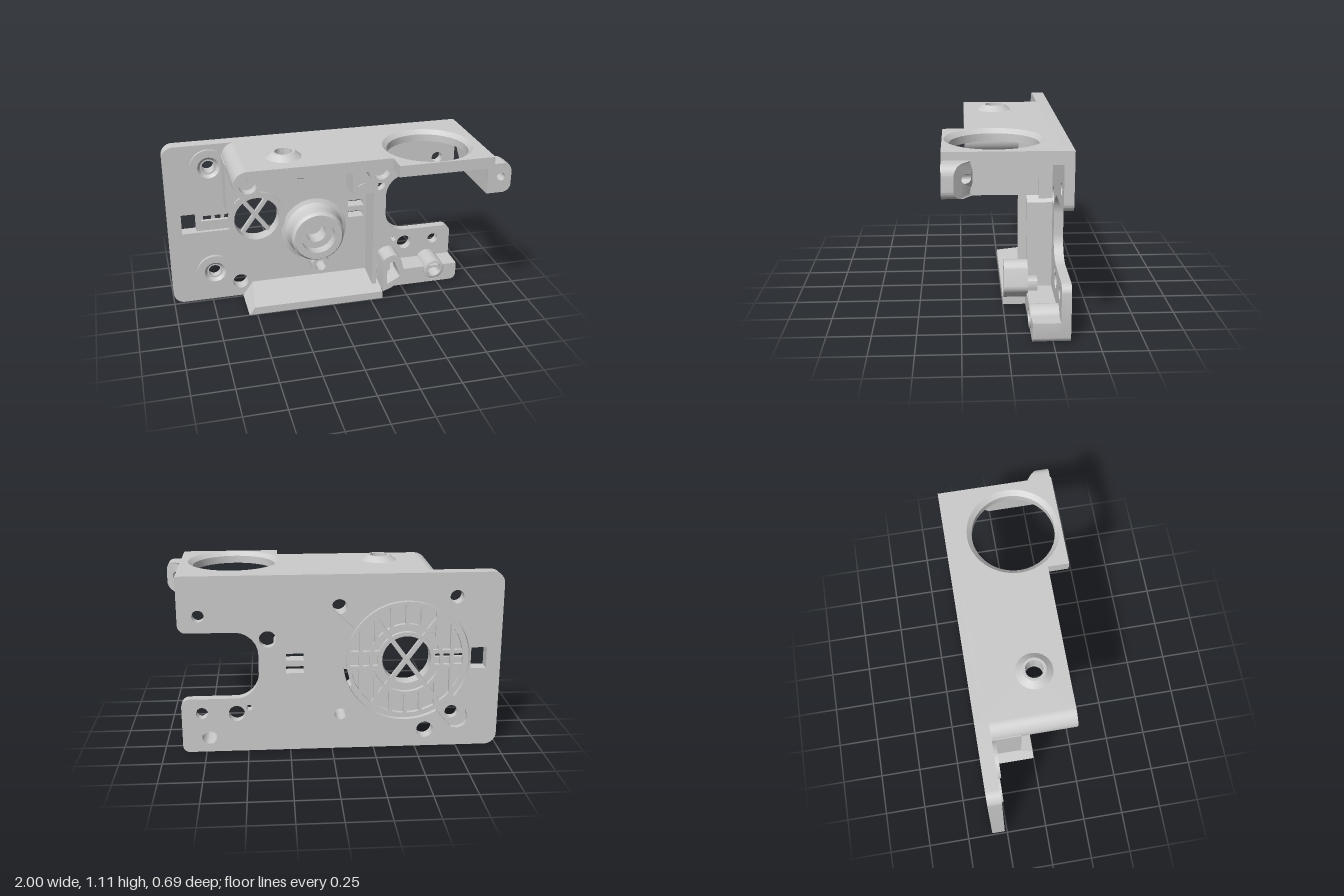
import * as THREE from 'three';
import { toCreasedNormals } from 'three/addons/utils/BufferGeometryUtils.js';

const mat = new THREE.MeshStandardMaterial({ color: 0xcccccc });

// Closed outline from [x, y, cornerRadius]
function outline(pts, Type = THREE.Shape) {
  const s = new Type(), n = pts.length;
  const toward = (a, b, d) => {
    const l = Math.hypot(b[0] - a[0], b[1] - a[1]);
    return [a[0] + (b[0] - a[0]) * d / l, a[1] + (b[1] - a[1]) * d / l];
  };
  pts.forEach((p, i) => {
    const r = p[2] || 0, prev = pts[(i + n - 1) % n], next = pts[(i + 1) % n];
    const a = r ? toward(p, prev, r) : p, b = r ? toward(p, next, r) : p;
    if (i) s.lineTo(a[0], a[1]); else s.moveTo(a[0], a[1]);
    if (r) {
      const c = toward(p, prev, r * 0.448), d = toward(p, next, r * 0.448);
      s.bezierCurveTo(c[0], c[1], d[0], d[1], b[0], b[1]);
    }
  });
  s.closePath();
  return s;
}
const circle = (x, y, r, Type = THREE.Path) => new Type().absarc(x, y, r, 0, Math.PI * 2, false);
const rect = (x0, y0, x1, y1, r = 0) => outline([[x0, y0, r], [x1, y0, r], [x1, y1, r], [x0, y1, r]]);

export function createModel() {
  const root = new THREE.Group();
  const add = (name, geo, parent = root) => {
    const m = new THREE.Mesh(geo, mat);
    m.name = name;
    parent.add(m);
    return m;
  };
  const extrude = (shape, holes, depth) => {
    shape.holes.push(...holes);
    return new THREE.ExtrudeGeometry(shape, { depth, bevelEnabled: false, curveSegments: 20 });
  };
  const smooth = g => toCreasedNormals(g, 0.6);
  // Extrusions along z, y and x
  const exZ = (name, shape, holes, z0, z1, parent) =>
    add(name, smooth(extrude(shape, holes, z1 - z0).translate(0, 0, z0)), parent);
  const exY = (name, shape, holes, y0, y1) =>
    add(name, smooth(extrude(shape, holes, y1 - y0).rotateX(-Math.PI / 2).translate(0, y0, 0)));
  const exX = (name, zy, x0, x1) =>
    add(name, smooth(extrude(outline(zy.map(([z, y]) => [-z, y])), [], x1 - x0).rotateY(Math.PI / 2).translate(x0, 0, 0)));
  const box = (name, x0, x1, y0, y1, z0, z1, parent) =>
    add(name, new THREE.BoxGeometry(x1 - x0, y1 - y0, z1 - z0)
      .translate((x0 + x1) / 2, (y0 + y1) / 2, (z0 + z1) / 2), parent);
  const lathe = pts => smooth(new THREE.LatheGeometry(pts.map(p => new THREE.Vector2(p[0], p[1])), 40).toNonIndexed());
  // Turned boss facing forward, profile of [radius, z]
  const boss = (name, x, y, pts) => add(name, lathe(pts).rotateX(Math.PI / 2).translate(x, y, 0));

  // Main plate, in three layers
  const BACK = -0.345, MID = -0.315, LOW = -0.29, FRONT = -0.265;
  const [cx, cy] = [-0.44, 0.55];
  const plate = () => outline([
    [-1, 0, 0.07], [0.89, 0, 0.04], [0.89, 0.335, 0.05], [0.43, 0.335, 0.14],
    [0.43, 0.74, 0.14], [0.89, 0.74, 0.05], [0.89, 1.075], [-1, 1.075, 0.07]]);
  const rightHoles = () => [[0.375, 0.695, 0.05], [0.77, 0.84, 0.035], [0.49, 0.275, 0.018],
    [0.565, 0.24, 0.048], [0.77, 0.245, 0.035], [0.73, 0.095, 0.045]].map(h => circle(...h));
  const leftHoles = () => [
    ...[[-0.56, 0.105, 0.05], [-0.725, 0.93, 0.04], [-0.05, 0.22, 0.035]].map(h => circle(...h)),
    rect(0.165, 0.485, 0.27, 0.605)];
  const innerHoles = () => [circle(cx, cy, 0.145), circle(-0.065, 0.43, 0.065),
    circle(-0.045, 0.875, 0.045), circle(-0.725, 0.205, 0.04)];
  const window_ = () => rect(-0.915, 0.49, -0.822, 0.62);

  // Round rear pocket with two screw lobes
  const lobes = [[0.37, 0.34], [-0.31, -0.37]];
  const pocketPts = [];
  for (let i = 0; i < 120; i++) {
    const t = i / 120 * Math.PI * 2;
    let r = 0.375;
    for (const [x, y] of lobes) {
      const d = Math.hypot(x, y), a = t - Math.atan2(y, x), q = 0.07 ** 2 - (d * Math.sin(a)) ** 2;
      if (q > 0 && Math.cos(a) > 0) r = Math.max(r, d * Math.cos(a) + Math.sqrt(q));
    }
    pocketPts.push(new THREE.Vector2(cx + r * Math.cos(t), cy + r * Math.sin(t)));
  }
  exZ('plateBack', plate(), [...rightHoles(), ...leftHoles(), window_(), new THREE.Path(pocketPts)], BACK, MID);
  exZ('plateMiddle', plate(), [...rightHoles(), ...leftHoles(), ...innerHoles(), window_(),
    rect(-0.79, 0.555, -0.61, 0.59)], MID, LOW);
  exZ('plateFront', outline([[-1, 0, 0.07], [0.3, 0], [0.3, 1.075], [-1, 1.075, 0.07]]),
    [...leftHoles(), ...innerHoles(), rect(-0.915, 0.49, -0.61, 0.62)], LOW, FRONT);
  box('windowBar', 0.165, 0.27, 0.527, 0.563, BACK, FRONT);

  // Vent grille inside the pocket
  const grille = new THREE.Group();
  grille.name = 'ventGrille';
  root.add(grille);
  for (const [r1, r0] of [[0.355, 0.335], [0.22, 0.2], [0.17, 0.145]])
    exZ('grilleRing', circle(cx, cy, r1, THREE.Shape), [circle(cx, cy, r0)], BACK + 0.004, MID, grille);
  for (const x of [-0.27, -0.18, -0.09, 0, 0.09, 0.18, 0.27]) {
    const far = Math.sqrt(0.345 ** 2 - x * x), near = Math.abs(x) < 0.2 ? Math.sqrt(0.21 ** 2 - x * x) : 0;
    for (const s of [-1, 1]) {
      const [a, b] = [s * near, s * far].sort((p, q) => p - q);
      box('grilleBar', cx + x - 0.011, cx + x + 0.011, cy + a, cy + b, BACK + 0.004, MID, grille);
    }
  }
  for (const s of [-1, 1]) for (const y of [-0.045, 0.045])
    box('grilleCrossbar', cx + (s < 0 ? -0.345 : 0.16), cx + (s < 0 ? -0.16 : 0.345),
      cy + y - 0.011, cy + y + 0.011, BACK + 0.004, MID, grille);
  for (const a of [0.94, -0.94 + Math.PI]) {
    const bar = add('grilleDiagonal', new THREE.BoxGeometry(0.69, 0.026, 0.026), grille);
    bar.position.set(cx, cy, -0.328);
    bar.rotation.z = a;
  }

  // Raised ring, screw seats and bosses on the front
  boss('ventRing', cx, cy, [[0.185, FRONT], [0.185, -0.25], [0.145, -0.25], [0.145, FRONT]]);
  for (const y of [0.93, 0.205]) {
    const a = 0.86, seat = new THREE.Shape().absarc(-0.725, y, 0.115, a, Math.PI * 2 - a, false);
    seat.closePath();
    exZ('screwSeat', seat, [circle(-0.725, y, 0.068)], FRONT, -0.245);
    boss('screwSeatCone', -0.725, y, [[0.068, -0.245], [0.04, -0.275], [0.04, LOW]]);
  }
  boss('flaredHub', -0.065, 0.43, [[0.215, FRONT], [0.19, -0.255], [0.178, -0.235], [0.172, -0.2], [0.17, -0.15],
    [0.155, -0.13], [0.11, -0.13], [0.11, -0.2], [0.065, -0.2], [0.065, FRONT]]);
  boss('lowerStud', -0.05, 0.22, [[0.06, FRONT], [0.06, -0.14], [0.035, -0.14], [0.035, FRONT]]);
  boss('upperStud', -0.17, 0.905, [[0.07, FRONT], [0.07, -0.16], [0.058, -0.15], [0.04, -0.15], [0.04, -0.25], [0, -0.25]]);
  boss('pegRim', -0.045, 0.875, [[0.055, FRONT], [0.055, -0.2], [0.045, -0.2], [0.045, FRONT]]);
  boss('smallStud', 0.215, 0.755, [[0.035, FRONT], [0.035, -0.09], [0, -0.09]]);

  // Roof with the large round opening
  exY('roof', outline([[-0.555, -0.22], [0.305, -0.22], [0.305, -0.345], [0.89, -0.345], [0.89, 0.345], [-0.555, 0.345]]),
    [circle(0.57, -0.06, 0.277), circle(-0.31, -0.03, 0.05)], 1.005, 1.075);
  add('openingRim', lathe([[0.28, 1.005], [0.28, 1.075], [0.275, 1.075], [0.247, 1.05], [0.247, 1.005], [0.28, 1.005]])
    .translate(0.57, 0, 0.06));
  add('roofSpout', lathe([[0.107, 1.075], [0.068, 1.106], [0.052, 1.106], [0.05, 1.01]]).translate(-0.31, 0, 0.03));
  for (const [x, r] of [[-0.555, 0.085], [0.235, 0.075]])
    boss('cornerPost', x, 1.075 - r, [[0, BACK], [r, BACK], [r, 0.22], [0.052, 0.22], [0.052, 0.16], [0, 0.16]]);

  // Right cheek and its ear
  exX('rightCheek', [[0.345, 0.845], [-0.05, 0.845], [-0.21, 1], [-0.3, 1], [-0.3, 1.04], [0.345, 1.04]], 0.85, 0.89);
  const ear = extrude(outline([[0.85, 0.845, 0.02], [0.97, 0.845, 0.02], [1, 0.875, 0.02], [1, 1.0, 0.03],
    [0.97, 1.03, 0.02], [0.85, 1.03, 0.02]]), [circle(0.935, 0.945, 0.025)], 0.175);
  const p = ear.attributes.position;
  for (let i = 0; i < p.count; i++) {
    const back = p.getZ(i) < 0.01;
    p.setZ(i, back ? 0.17 + Math.max(0, p.getX(i) - 0.89) : 0.345);
  }
  ear.computeVertexNormals();
  add('ear', smooth(ear));

  // Inner walls
  box('leftWall', -0.645, -0.6, 0.68, 1, FRONT, -0.1);
  box('pillar', 0.15, 0.3, 0.72, 1.01, FRONT, -0.1);
  box('dividerWall', 0.285, 0.312, 0.05, 1.01, LOW, -0.09);
  exZ('dividerStep', outline([[0.31, 0.1], [0.34, 0.1], [0.34, 0.64], [0.31, 0.68]]), [], LOW, -0.14);
  box('dividerTop', 0.31, 0.325, 0.66, 1.01, LOW, -0.21);

  // Bottom shelf with a slanted left end
  const shelf = exX('bottomShelf', [[0, 0], [0, 0.05], [FRONT, 0.09], [LOW, 0.09], [LOW, 0]], -0.55, 0.332);
  const sp = shelf.geometry.attributes.position;
  for (let i = 0; i < sp.count; i++)
    if (sp.getX(i) < 0 && sp.getY(i) > 0.02) sp.setX(i, -0.55 + sp.getY(i) * 0.75);
  shelf.geometry.computeVertexNormals();

  // Lower right block, its socket and the loop clip
  exZ('lowerBlock', outline([[0.31, 0], [0.89, 0, 0.04], [0.89, 0.12], [0.31, 0.12]]),
    [circle(0.73, 0.06, 0.045)], LOW, -0.135);
  boss('blockSocket', 0.73, 0.095, [[0.07, LOW], [0.07, -0.13], [0.062, -0.125], [0.048, -0.125], [0.045, -0.14], [0.045, LOW]]);
  exZ('loopClip', outline([[0.335, 0.05], [0.4, 0.075, 0.02], [0.487, 0.145, 0.03], [0.445, 0.295, 0.03],
    [0.4, 0.315, 0.03], [0.335, 0.285, 0.02]]),
    [outline([[0.36, 0.1, 0.01], [0.36, 0.25, 0.01], [0.405, 0.265, 0.015], [0.45, 0.15, 0.015]], THREE.Path)], -0.14, 0);
  exZ('clipFoot', rect(0.33, 0.1, 0.42, 0.19, 0.02), [], -0.2, -0.13);
  return root;
}
